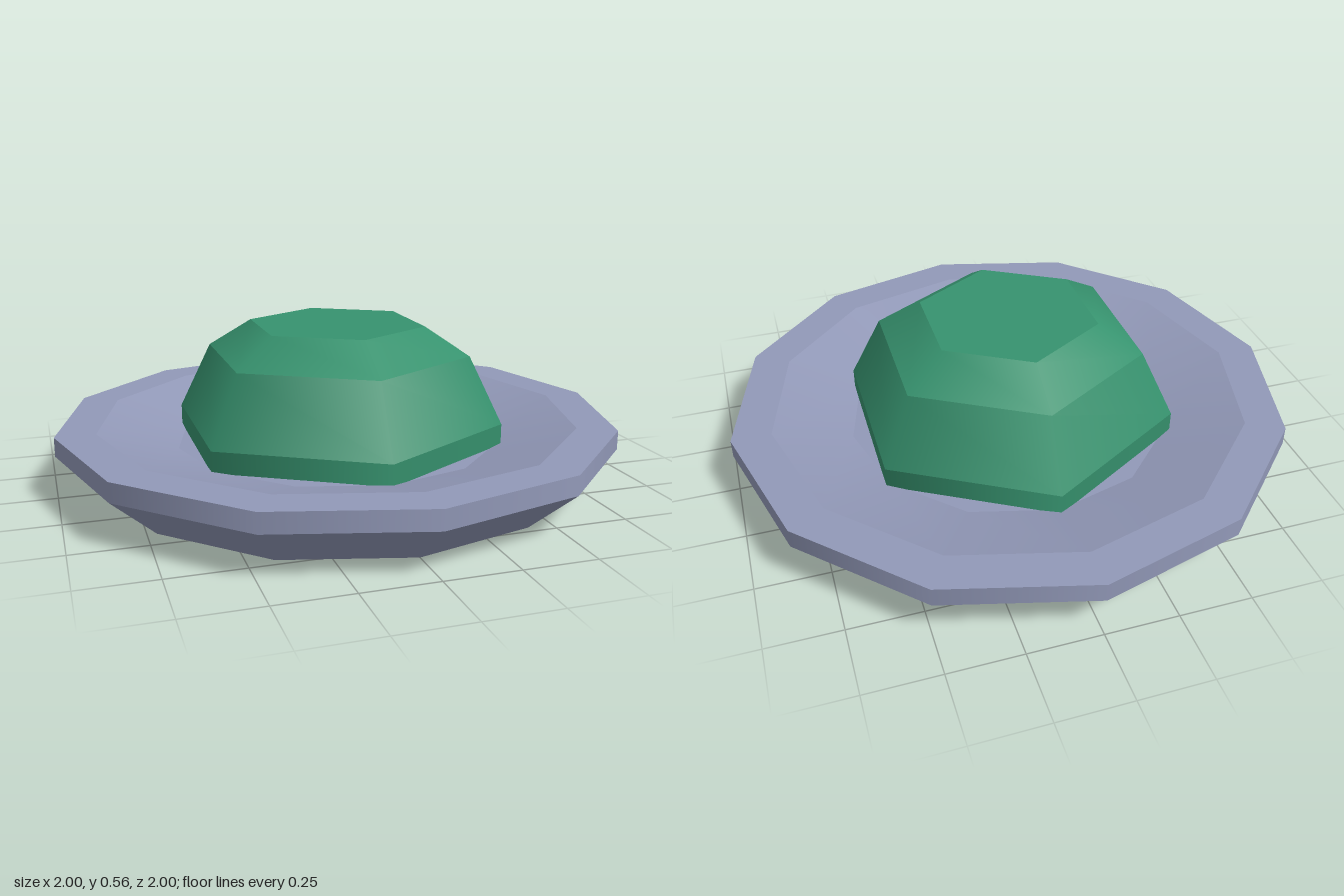
import * as THREE from 'three';
import { mergeGeometries } from 'three/addons/utils/BufferGeometryUtils.js';

// Turned solid: smooth around the axis, sharp between profile bands.
// The profile runs [radius, height] from bottom centre, out, up and back in.
function bandedLathe(profile, sides) {
  const bands = [];
  for (let i = 0; i < profile.length - 1; i++) {
    const pair = [profile[i], profile[i + 1]].map(([r, y]) => new THREE.Vector2(r, y));
    bands.push(new THREE.LatheGeometry(pair, sides));
  }
  return mergeGeometries(bands);
}

export function createModel() {
  const model = new THREE.Group();
  model.name = 'dishWithDome';

  const dishGrey = new THREE.MeshStandardMaterial({ color: 0x9299b8 });
  dishGrey.name = 'blue grey';
  const domeGreen = new THREE.MeshStandardMaterial({ color: 0x37936f });
  domeGreen.name = 'green';

  // Twelve-sided dish with a flat rim and a sunken floor
  const dish = new THREE.Mesh(bandedLathe([
    [0, 0], [0.83, 0], [1, 0.15], [1, 0.217],
    [0.86, 0.217], [0.58, 0.14], [0, 0.14],
  ], 12), dishGrey);
  dish.name = 'dish';
  model.add(dish);

  // Six-sided stepped dome standing on the floor of the dish
  const dome = new THREE.Mesh(bandedLathe([
    [0, 0.135], [0.6, 0.135], [0.6, 0.215],
    [0.48, 0.455], [0.32, 0.555], [0, 0.555],
  ], 6), domeGreen);
  dome.name = 'dome';
  model.add(dome);

  return model;
}
